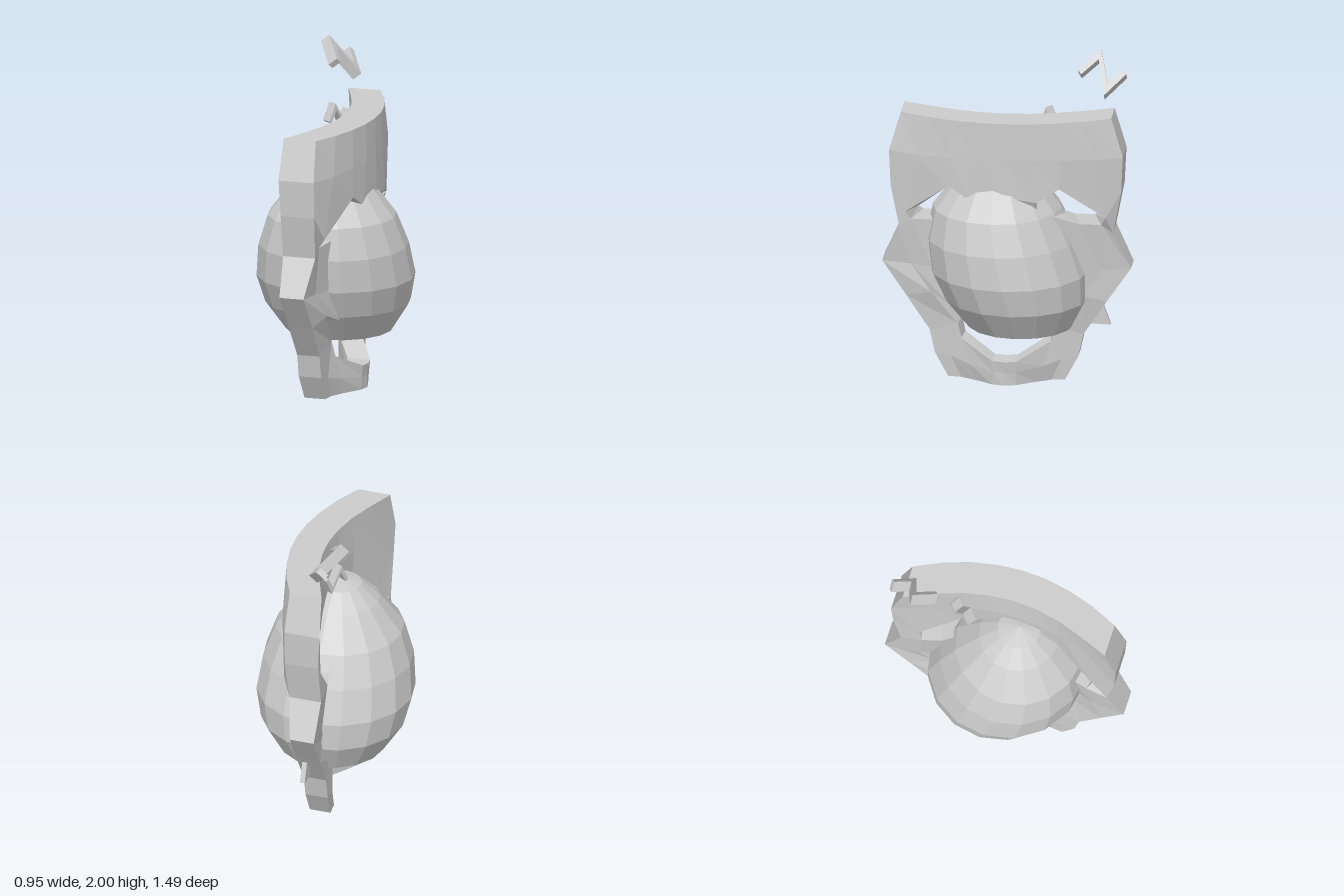
import * as THREE from 'three';

const grey = () => new THREE.MeshStandardMaterial({ color: 0xcccccc, flatShading: true, side: THREE.DoubleSide });

function addMesh(group, name, geometry) {
  const mesh = new THREE.Mesh(geometry, grey());
  mesh.name = name;
  group.add(mesh);
  return mesh;
}

// Rows of half the mask, top to bottom: centre x, edge x, thickness, bulge power, then [z, y] from edge to middle
const ROWS = [
  [0.25, 0.08, 0.20, 1, [[0.63, 1.66], [0.47, 1.66], [0.31, 1.66], [0.15, 1.66], [0, 1.66]]],
  [0.255, 0.09, 0.22, 1, [[0.7, 1.42], [0.53, 1.42], [0.33, 1.43], [0.16, 1.43], [0, 1.43]]],
  [0.26, 0.09, 0.21, 1.1, [[0.69, 1.2], [0.6, 1.05], [0.33, 1.25], [0.2, 1.17], [0, 1.2]]],
  [0.25, 0.08, 0.20, 2.6, [[0.64, 0.94], [0.57, 0.99], [0.44, 1.0], [0.2, 1.1], [0, 1.05]]],
  [0.24, 0.04, 0.15, 2.8, [[0.745, 0.71], [0.57, 0.7], [0.44, 0.7], [0.2, 0.7], [0, 0.7]]],
  [0.22, 0.05, 0.15, 1.7, [[0.6, 0.5], [0.45, 0.54], [0.34, 0.49], [0.17, 0.4], [0, 0.38]]],
  [0.21, 0.05, 0.14, 4, [[0.46, 0.29], [0.29, 0.34], [0.27, 0.25], [0.07, 0.15], [0, 0.15]]],
  [0.20, 0.05, 0.14, 3, [[0.43, 0.15], [0.33, 0.13], [0.22, 0.1], [0.07, 0.08], [0, 0.08]]],
  [0.20, 0.05, 0.13, 3, [[0.35, 0], [0.27, 0], [0.18, 0], [0.07, 0], [0, 0]]],
];

// Curved plate: quads between rows, with the eye and mouth cells left out and walled
function maskGeometry() {
  const grid = ROWS.map(([xc, xe, thick, power, half], r) => {
    const mirrored = half.slice(0, 4).reverse().map(([z, y]) => [-z, y]);
    return [...half, ...mirrored].map(([z, y], i) => {
      const t = z / half[0][0];
      const x = xe + (xc - xe) * Math.pow(1 - t * t, power);
      const edge = i === 0 || i === 8;
      // the back of the eye openings narrows and drops
      const inward = edge ? 1 : r === 2 || r === 3 ? 0.9 : 0.95;
      const drop = !edge && r === 2 ? 0.03 : 0;
      return [[x, y, z], [x - thick, y - drop, z * inward]];
    });
  });
  const solid = (r, c) => {
    if (r < 0 || r > 7 || c < 0 || c > 7) return false;
    const k = Math.min(c, 7 - c);
    const eye = r === 2 && (k === 1 || k === 2);
    const mouth = r === 5 && k > 0;
    return !eye && !mouth;
  };
  const pos = [];
  const quad = (a, b, c, d) => pos.push(...a, ...b, ...c, ...a, ...c, ...d);
  for (let r = 0; r < 8; r++) {
    for (let c = 0; c < 8; c++) {
      if (!solid(r, c)) continue;
      const p = [grid[r][c], grid[r + 1][c], grid[r + 1][c + 1], grid[r][c + 1]];
      quad(p[0][0], p[1][0], p[2][0], p[3][0]);
      quad(p[3][1], p[2][1], p[1][1], p[0][1]);
      [[0, -1], [1, 0], [0, 1], [-1, 0]].forEach(([dr, dc], i) => {
        const q = p[(i + 1) % 4];
        if (!solid(r + dr, c + dc)) quad(p[i][0], p[i][1], q[1], q[0]);
      });
    }
  }
  const g = new THREE.BufferGeometry();
  g.setAttribute('position', new THREE.Float32BufferAttribute(pos, 3));
  g.computeVertexNormals();
  return g;
}

// Faceted ball with a flat base, its rings sliding forward as they rise
function ballGeometry() {
  const profile = [[0, 0.335], [0.32, 0.335], [0.435, 0.51], [0.475, 0.68], [0.45, 0.88],
    [0.385, 1.07], [0.24, 1.26], [0.13, 1.36], [0, 1.39]];
  const g = new THREE.LatheGeometry(profile.map(([x, y]) => new THREE.Vector2(x, y)), 16);
  const p = g.attributes.position;
  for (let i = 0; i < p.count; i++) {
    const y = p.getY(i);
    const shift = -0.08 + 0.14 * THREE.MathUtils.clamp((y - 0.4) / 0.6, 0, 1);
    p.setZ(i, p.getZ(i) + shift);
  }
  g.computeVertexNormals();
  return g;
}

// Extruded zigzag centred on its own origin
function zigzagGeometry(depth) {
  const pts = [[0.41, 0.14], [0.54, 0.28], [0.59, 0.06], [0.68, 0.15],
    [0.70, 0.12], [0.575, -0.02], [0.53, 0.21], [0.43, 0.11]];
  const shape = new THREE.Shape(pts.map(([u, v]) => new THREE.Vector2(u - 0.555, v - 0.13)));
  const g = new THREE.ExtrudeGeometry(shape, { depth, bevelEnabled: false });
  return g.translate(0, 0, -depth / 2);
}

// Aim a flat part: u is its width direction, up is roughly its height direction
function place(mesh, position, u, up, scale = 1) {
  const U = new THREE.Vector3(...u).normalize();
  const N = U.clone().cross(new THREE.Vector3(...up)).normalize();
  const V = N.clone().cross(U);
  mesh.quaternion.setFromRotationMatrix(new THREE.Matrix4().makeBasis(U, V, N));
  mesh.position.set(...position);
  mesh.scale.setScalar(scale);
}

export function createModel() {
  const model = new THREE.Group();
  model.name = 'maskWithBall';

  addMesh(model, 'mask', maskGeometry());
  addMesh(model, 'ball', ballGeometry());

  // Floating zigzags
  const large = addMesh(model, 'largeZigzag', zigzagGeometry(0.066));
  place(large, [-0.142, 1.864, -0.555], [0, 0, -1], [-0.63, 0.77, 0]);
  const small = addMesh(model, 'smallZigzag', zigzagGeometry(0.1));
  place(small, [-0.075, 1.585, -0.27], [0.5, 0.3, -0.8], [0, 1, 0], 0.6);

  // Thin wedge standing out from the back edge beside the mouth
  const wedge = new THREE.Shape([[0.47, 0.35], [0.62, 0.345], [0.57, 0.48]].map(([u, v]) => new THREE.Vector2(u, v)));
  const spike = addMesh(model, 'wedge', new THREE.ExtrudeGeometry(wedge, { depth: 0.03, bevelEnabled: false }));
  place(spike, [-0.01, 0, 0], [0, 0, -1], [0, 1, 0]);

  return model;
}
